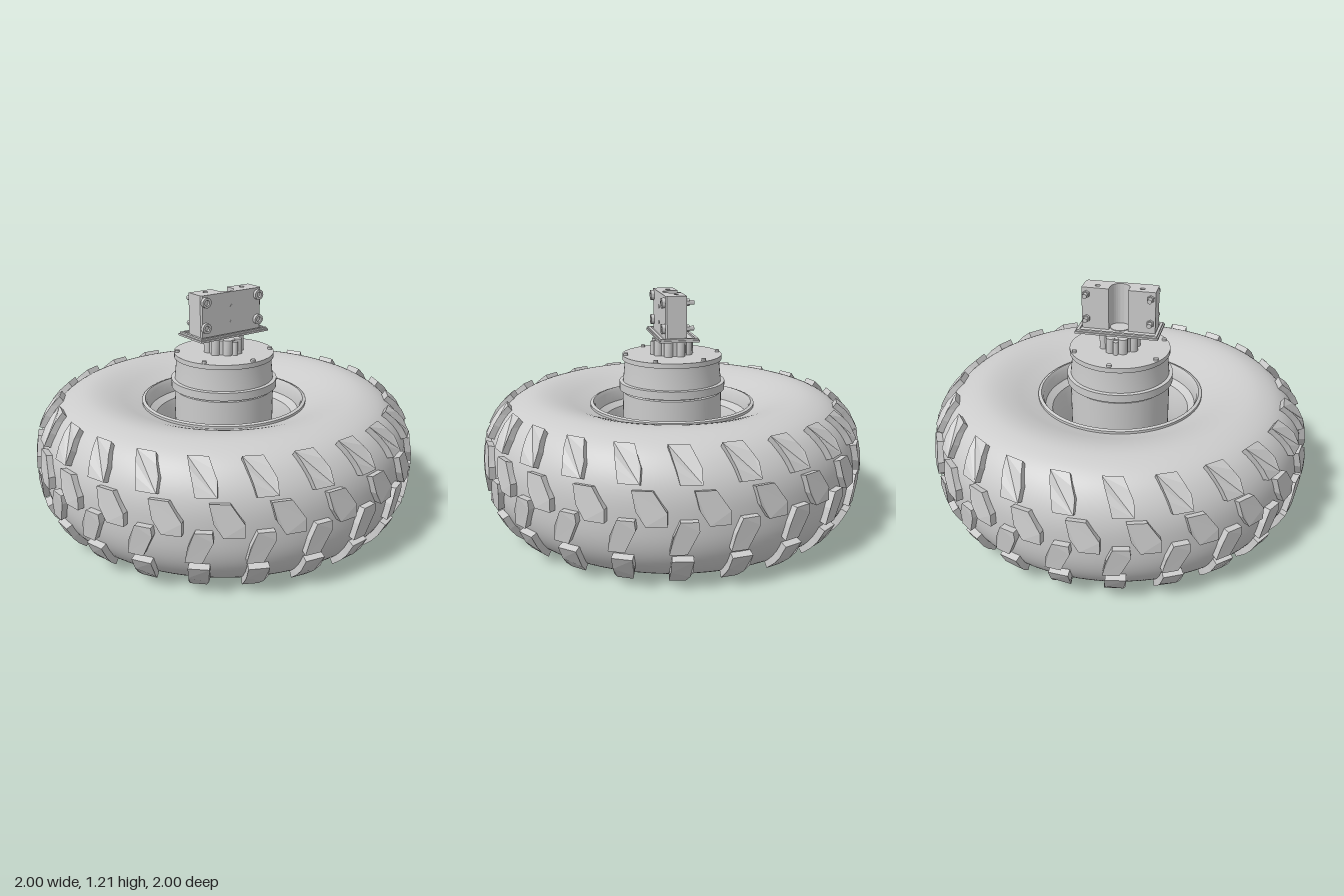
import * as THREE from 'three';
import { toCreasedNormals } from 'three/addons/utils/BufferGeometryUtils.js';

const grey = new THREE.MeshStandardMaterial({ color: 0xcccccc });
const greyDouble = new THREE.MeshStandardMaterial({ color: 0xcccccc, side: THREE.DoubleSide });
const V2 = (p) => new THREE.Vector2(p[0], p[1]);
const MID = 0.342; // half the tyre width

function add(parent, name, geometry, x = 0, y = 0, z = 0, material = grey) {
  const mesh = new THREE.Mesh(geometry, material);
  mesh.name = name;
  mesh.position.set(x, y, z);
  parent.add(mesh);
  return mesh;
}

// Turned part with sharp steps, profile given as [radius, y]
const turned = (profile, sides = 64) =>
  toCreasedNormals(new THREE.LatheGeometry(profile.map(V2), sides), 0.6);

const cylinder = (r, h, sides = 24) =>
  toCreasedNormals(new THREE.CylinderGeometry(r, r, h, sides), 0.8);

// Upper half of the tyre section: [radius, height above the middle]
const section = [[0.966, 0], [0.962, 0.09], [0.945, 0.16], [0.915, 0.22], [0.87, 0.275],
  [0.81, 0.316], [0.73, 0.34], [0.66, 0.34], [0.58, 0.322], [0.5, 0.293], [0.43, 0.268]];

function treadRadius(y) {
  const h = Math.abs(y - MID);
  let i = 0;
  while (i < 5 && section[i + 1][1] < h) i++;
  const [r0, h0] = section[i], [r1, h1] = section[i + 1];
  return r0 + (r1 - r0) * (h - h0) / (h1 - h0);
}

// Tread block: an outline in (arc, y) wrapped around the tyre and pushed out along its normal
function treadBlock(outline, height) {
  const geo = new THREE.ExtrudeGeometry(new THREE.Shape(outline.map(V2)),
    { depth: 1, bevelEnabled: false });
  const p = geo.attributes.position;
  for (let i = 0; i < p.count; i++) {
    const angle = p.getX(i) / 0.96, y = p.getY(i);
    const slope = (treadRadius(y + 0.02) - treadRadius(y - 0.02)) / 0.04;
    const n = Math.hypot(1, slope);
    const d = -0.025 + p.getZ(i) * (height + 0.025);
    const r = treadRadius(y) + d / n;
    p.setXYZ(i, r * Math.sin(angle), y - d * slope / n, r * Math.cos(angle));
  }
  geo.computeVertexNormals();
  return geo;
}

function createTyre() {
  const tyre = new THREE.Group();
  tyre.name = 'tyre';
  const lower = section.slice(1).reverse().map(([r, h]) => new THREE.Vector3(r, MID - h, 0));
  const upper = section.map(([r, h]) => new THREE.Vector3(r, MID + h, 0));
  const curve = new THREE.CatmullRomCurve3([...lower, ...upper]);
  const profile = curve.getPoints(64).map((p) => new THREE.Vector2(p.x, p.y));
  add(tyre, 'carcass', new THREE.LatheGeometry(profile, 96), 0, 0, 0, greyDouble);

  // Four rows of tread blocks
  const rows = {
    upperShoulderTread: [[0.05, 0.505], [0.145, 0.505], [0.145, 0.565], [0.125, 0.6],
      [0.1, 0.635], [-0.005, 0.635], [0.015, 0.6], [0.035, 0.555]],
    upperCentreTread: [[0.17, 0.34], [0.26, 0.34], [0.26, 0.4], [0.2, 0.485],
      [0.11, 0.485], [0.13, 0.405]],
    lowerCentreTread: [[0.005, 0.215], [0.08, 0.215], [0.13, 0.32], [0.125, 0.36],
      [0.05, 0.36], [0.02, 0.29]],
    lowerShoulderTread: [[0, 0.05], [0.085, 0.05], [0.1, 0.085], [0.11, 0.125],
      [0.11, 0.182], [0.015, 0.182], [0.01, 0.12], [0.004, 0.085]],
  };
  const count = 23;
  for (const [name, outline] of Object.entries(rows)) {
    const row = new THREE.Group();
    row.name = name;
    const geo = treadBlock(outline, 0.034);
    for (let i = 0; i < count; i++) {
      add(row, 'treadBlock', geo).rotation.y = i * 2 * Math.PI / count;
    }
    tyre.add(row);
  }
  return tyre;
}

function createRim() {
  const rim = new THREE.Group();
  rim.name = 'rim';
  add(rim, 'barrel', turned([[0.436, 0.085], [0.436, 0.06], [0.42, 0.055], [0.408, 0.075],
    [0.4, 0.13], [0.365, 0.155], [0.35, 0.22], [0.335, 0.3], [0.335, 0.4], [0.355, 0.5],
    [0.365, 0.53], [0.4, 0.555], [0.408, 0.61], [0.42, 0.63], [0.436, 0.625], [0.436, 0.6]]),
  0, 0, 0, greyDouble);
  add(rim, 'wheelDisc', turned([[0, 0.29], [0.29, 0.29], [0.345, 0.27], [0.345, 0.29],
    [0.3, 0.315], [0, 0.315]]), 0, 0, 0, greyDouble);
  add(rim, 'hubCap', turned([[0, 0.27], [0.1, 0.27], [0.13, 0.28], [0.13, 0.3]]));
  return rim;
}

function createMotor() {
  const motor = new THREE.Group();
  motor.name = 'motor';
  add(motor, 'housing', turned([[0.262, 0.3], [0.262, 0.685], [0.255, 0.69], [0.255, 0.698],
    [0.279, 0.698], [0.279, 0.74], [0.26, 0.742], [0.25, 0.84], [0.25, 0.855],
    [0.262, 0.855], [0.262, 0.88], [0, 0.88]]));
  for (let i = 0; i < 6; i++) {
    const a = i * Math.PI / 3;
    add(motor, 'flangeBolt', cylinder(0.012, 0.02, 12),
      0.245 * Math.sin(a), 0.882, 0.245 * Math.cos(a));
  }
  // Ribbed collar and neck
  add(motor, 'collar', turned([[0.085, 0.88], [0.085, 0.955], [0.06, 0.965],
    [0.05, 0.965], [0.05, 0.99], [0, 0.99]], 40));
  for (let i = 0; i < 8; i++) {
    const a = (i + 0.5) * Math.PI / 4;
    add(motor, 'collarRib', cylinder(0.024, 0.08, 12),
      0.083 * Math.sin(a), 0.92, 0.083 * Math.cos(a));
  }
  for (const z of [-0.1, 0.1]) add(motor, 'collarBolt', cylinder(0.014, 0.07, 12), 0, 0.915, z);
  return motor;
}

function createClamp() {
  const clamp = new THREE.Group();
  clamp.name = 'clamp';
  add(clamp, 'basePlate', new THREE.BoxGeometry(0.43, 0.01, 0.204), 0, 0.981, 0);

  // Raised frame around the base plate
  const rect = (s, w, d) => s.moveTo(-w, -d).lineTo(w, -d).lineTo(w, d).lineTo(-w, d).closePath();
  const frame = rect(new THREE.Shape(), 0.208, 0.096);
  frame.holes.push(rect(new THREE.Path(), 0.194, 0.082));
  const frameGeo = new THREE.ExtrudeGeometry(frame, { depth: 0.01, bevelEnabled: false });
  add(clamp, 'frame', frameGeo.rotateX(-Math.PI / 2), 0, 0.985, 0);

  // Block with a round-bottomed channel at the back and two drilled holes
  const front = 0.068;
  const s = new THREE.Shape();
  s.moveTo(-0.19, -front + 0.008).lineTo(-0.182, -front).lineTo(0.182, -front)
    .lineTo(0.19, -front + 0.008).lineTo(0.19, 0.04).lineTo(0.05, 0.04).lineTo(0.05, 0)
    .absarc(0, 0, 0.05, 0, -Math.PI, true).lineTo(-0.05, 0.04).lineTo(-0.19, 0.04).closePath();
  for (const x of [-0.115, 0.115]) {
    s.holes.push(new THREE.Path().absarc(x, 0, 0.013, 0, Math.PI * 2, true));
  }
  const block = new THREE.ExtrudeGeometry(s, { depth: 0.219, bevelEnabled: false, curveSegments: 20 });
  add(clamp, 'block', toCreasedNormals(block.rotateX(-Math.PI / 2), 0.6), 0, 0.986, 0);

  // Clamp bolts: socket head at the front, stud and nut at the back
  const head = turned([[0.026, 0], [0.026, 0.018], [0.014, 0.018], [0.014, 0.006], [0, 0.006]], 24)
    .rotateX(Math.PI / 2);
  const nut = cylinder(0.019, 0.016, 6).rotateX(Math.PI / 2);
  const stud = cylinder(0.012, 0.045, 16).rotateX(Math.PI / 2);
  for (const x of [-0.165, 0.165]) {
    for (const y of [1.04, 1.17]) {
      add(clamp, 'boltHead', head, x, y, front);
      add(clamp, 'boltNut', nut, x, y, -0.048);
      add(clamp, 'boltStud', stud, x, y, -0.058);
    }
  }
  const pin = cylinder(0.01, 0.01, 16).rotateX(Math.PI / 2);
  for (const y of [1.05, 1.13]) add(clamp, 'setScrew', pin, 0, y, front - 0.003);
  return clamp;
}

export function createModel() {
  const model = new THREE.Group();
  model.name = 'driveWheel';
  model.add(createTyre(), createRim(), createMotor(), createClamp());
  return model;
}
